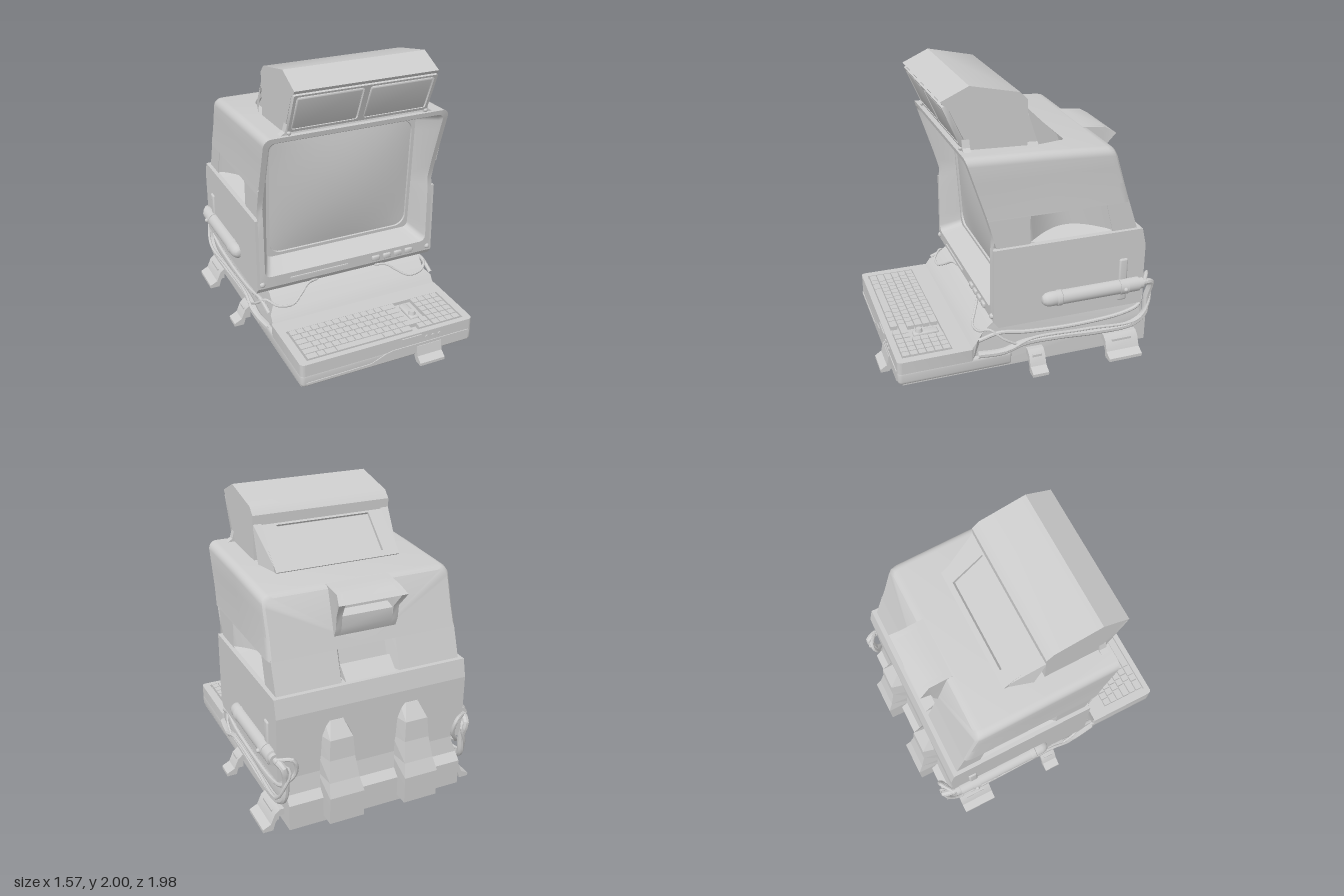
import * as THREE from 'three';
import { toCreasedNormals } from 'three/addons/utils/BufferGeometryUtils.js';
import { RoundedBoxGeometry } from 'three/addons/geometries/RoundedBoxGeometry.js';

const grey = new THREE.MeshStandardMaterial({ color: 0xcccccc });
const greyBoth = new THREE.MeshStandardMaterial({ color: 0xcccccc, side: THREE.DoubleSide });
const lerp = THREE.MathUtils.lerp;

export function createModel() {
  const model = new THREE.Group();
  const add = (name, geo, mat = grey, crease = 0.6) => {
    const m = new THREE.Mesh(toCreasedNormals(geo, crease), mat);
    m.name = name;
    model.add(m);
  };
  const box = (name, x, y, z, w, h, d) => add(name, new THREE.BoxGeometry(w, h, d).translate(x, y, z));
  const shapeOf = (pts) => new THREE.Shape(pts.map((p) => new THREE.Vector2(...p)));
  const extrude = (shape, depth) => new THREE.ExtrudeGeometry(shape, { depth, bevelEnabled: false, curveSegments: 10 });
  // side profile [z, y] extruded across x; plan [x, z] extruded up y
  const acrossX = (pts, x0, x1) => extrude(shapeOf(pts), x1 - x0).rotateY(-Math.PI / 2).translate(x1, 0, 0);
  const upY = (shape, y0, y1) => extrude(shape, y1 - y0).rotateX(Math.PI / 2).translate(0, y1, 0);
  const warp = (geo, f) => {
    const p = geo.attributes.position;
    for (let i = 0; i < p.count; i++) p.setXYZ(i, ...f(p.getX(i), p.getY(i), p.getZ(i)));
    return geo;
  };
  const rectPath = (x0, y0, x1, y1) => new THREE.Path([[x0, y0], [x0, y1], [x1, y1], [x1, y0]].map((p) => new THREE.Vector2(...p)));
  const rounded = (x0, y0, x1, y1, r) => {
    const s = new THREE.Shape();
    s.absarc(x1 - r, y1 - r, r, 0, Math.PI / 2).absarc(x0 + r, y1 - r, r, Math.PI / 2, Math.PI);
    return s.absarc(x0 + r, y0 + r, r, Math.PI, Math.PI * 1.5).absarc(x1 - r, y0 + r, r, Math.PI * 1.5, Math.PI * 2);
  };
  // skin through rings of [x, y, z]
  const loft = (rings, closed = true) => {
    const n = rings[0].length, index = [];
    for (let i = 0; i < rings.length - 1; i++)
      for (let j = 0; j < (closed ? n : n - 1); j++) {
        const a = i * n + j, b = i * n + (j + 1) % n;
        index.push(a, b, a + n, b, b + n, a + n);
      }
    const g = new THREE.BufferGeometry();
    g.setAttribute('position', new THREE.Float32BufferAttribute(rings.flat(2), 3));
    g.setIndex(index);
    return g;
  };
  // rounded rectangle ring whose depth follows z(y)
  const ring = (w, y0, y1, r, z) => {
    const c = [[w - r, y1 - r], [r - w, y1 - r], [r - w, y0 + r], [w - r, y0 + r]], out = [];
    const arcs = c.map(([x, y], k) => [0, 1, 2, 3, 4, 5, 6].map((i) => {
      const a = (k + i / 6) * Math.PI / 2;
      return [x + r * Math.cos(a), y + r * Math.sin(a)];
    }));
    arcs.forEach((arc, k) => {
      const e = arc[6], s = arcs[(k + 1) % 4][0];
      out.push(...arc);
      for (let i = 1; i < 12; i++) out.push([lerp(e[0], s[0], i / 12), lerp(e[1], s[1], i / 12)]);
    });
    return out.map(([x, y]) => [x, y, z(y)]);
  };
  const front = (y) => {
    const k = [[0.3, 0.272], [0.95, 0.272], [1.0, 0.255], [1.16, 0.3], [1.6, 0.445]];
    let i = 0;
    while (i < 3 && y > k[i + 1][0]) i++;
    return lerp(k[i][1], k[i + 1][1], (y - k[i][0]) / (k[i + 1][0] - k[i][0]));
  };

  // base and keyboard tray
  add('base', warp(acrossX([[0.42, 0.05], [0.42, 0.2], [0.37, 0.27], [0.32, 0.31], [0.25, 0.375], [0.2, 0.385], [-0.82, 0.385],
    [-0.84, 0.27], [-0.89, 0.22], [-0.89, 0.05]], -0.635, 0.635), (x, y, z) => [y > 0.3 ? x * 0.94 : x, y, z]));
  box('bottomPlate', 0, 0.046, 0, 1.27, 0.015, 1.78);
  add('trayBottom', new RoundedBoxGeometry(1.29, 0.11, 0.8, 3, 0.03).translate(0, 0.095, 0.52));
  const tray = rounded(-0.645, 0.39, 0.645, 0.92, 0.03);
  tray.holes.push(rectPath(-0.59, 0.53, 0.59, 0.88));
  add('tray', upY(tray, 0.13, 0.22));
  box('keyboardFloor', 0, 0.165, 0.705, 1.2, 0.06, 0.37);
  add('trayFrontPanel', extrude(shapeOf([[-0.61, 0.065], [0.61, 0.065], [0.61, 0.14], [0.02, 0.14], [-0.03, 0.13], [-0.14, 0.085], [-0.61, 0.08]]), 0.015).translate(0, 0, 0.911));
  box('trayDisplay', 0.16, 0.177, 0.92, 0.15, 0.06, 0.015);
  for (const x of [0.28, 0.33, 0.38]) add('indicator', new THREE.CylinderGeometry(0.013, 0.013, 0.02, 14).rotateX(Math.PI / 2).translate(x, 0.175, 0.917));

  // keys: widths per row in key units
  const unit = 0.0537;
  const keyRow = (x, z, widths) => widths.forEach((w) => {
    box('key', x + w * unit / 2, 0.206, z, w * unit - 0.007, 0.036, 0.049);
    x += w * unit;
  });
  for (let r = 0; r < 6; r++) {
    const z = 0.562 + r * 0.0565, lead = 1 + 0.25 * r;
    keyRow(-0.578, z, r === 5 ? [1.5, 1, 1.5, 6.5, 1.5, 1, 1.5] : [lead, ...Array(12).fill(1), 3 - lead + (r > 3 ? 1 : 0)]);
    keyRow(0.362, z, [1, 1, 1, 1]);
    if (r > 3) keyRow(0.25, z, [1, 1]);
  }
  add('joystickBase', new RoundedBoxGeometry(0.065, 0.03, 0.18, 2, 0.012).translate(0.295, 0.2, 0.645));
  add('joystick', new THREE.CylinderGeometry(0.02, 0.028, 0.03, 16).translate(0.295, 0.225, 0.69));

  // lower case, with the middle band above it scooped out at the sides and back
  const plan = (w, zf, zb, scoop) => {
    const s = new THREE.Shape();
    s.moveTo(0.645, 0.05).lineTo(0.645, zf).lineTo(w, zf);
    if (scoop) s.lineTo(w, 0.01).lineTo(w - 0.03, 0.0).quadraticCurveTo(w - 0.26, -0.28, w - 0.03, -0.57).lineTo(w, -0.58);
    s.lineTo(w, zb);
    if (scoop) s.lineTo(0.21, zb).lineTo(0.17, zb + 0.09).lineTo(-0.17, zb + 0.09).lineTo(-0.21, zb);
    s.lineTo(-w, zb);
    if (scoop) s.lineTo(-w, -0.58).lineTo(0.03 - w, -0.57).quadraticCurveTo(0.26 - w, -0.28, 0.03 - w, 0.0).lineTo(-w, 0.01);
    return s.lineTo(-w, zf).lineTo(-0.645, zf).lineTo(-0.645, 0.05);
  };
  add('chin', acrossX([[0.27, 0.5], [0.27, 0.425], [0.235, 0.38], [-0.82, 0.38], [-0.82, 0.5]], -0.685, 0.685));
  add('lowerCase', upY(plan(0.685, 0.27, -0.82), 0.5, 0.83));
  add('lowerCaseTop', warp(upY(plan(0.685, 0.27, -0.82), 0.83, 0.955), (x, y, z) => [x, y, z < -0.7 && y > 0.9 ? -0.79 : z]));
  add('middleBand', warp(upY(plan(0.658, 0.24, -0.76, true), 0.95, 1.17), (x, y, z) => {
    const t = (y - 0.95) / 0.21;
    return [x, y, z > 0.2 ? z + 0.06 * t : z < -0.01 ? z * (1 - 0.095 * t) : z];
  }));
  add('backScoopRamp', acrossX([[-0.67, 1.04], [-0.765, 0.955], [-0.66, 0.955]], -0.18, 0.18));

  // upper hood: an arch swept from the sloping front to the sloping back
  const back = (y) => -0.69 + (y - 1.16) * 0.31;
  const arch = (t, w, top, r = 0.055) => {
    const right = [[w + 0.006, 1.16], [w, 1.3], [w, 1.42]];
    for (let i = 0; i <= 6; i++) {
      const a = i * Math.PI / 12;
      right.push([w - r + r * Math.cos(a), top - r + r * Math.sin(a)]);
    }
    return [...right, ...right.slice().reverse().map(([x, y]) => [-x, y])].map(([x, y]) => [x, y, lerp(front(y), back(y), t)]);
  };
  const tail = arch(1, 0.645, 1.53);
  add('upperHood', loft([tail.map(() => [0, 1.16, -0.69]), tail, arch(0.985, 0.66, 1.545), arch(0.95, 0.667, 1.553),
    arch(0.5, 0.667, 1.575), arch(0, 0.667, 1.592)], false), greyBoth);

  // screen surround and bulging screen
  const deep = (y) => 0.12 + (y - 0.55) * 0.07;
  const sunk = (y) => deep(y) - 0.014;
  add('screenSurround', loft([ring(0.667, 0.43, 1.592, 0.055, front), ring(0.63, 0.51, 1.56, 0.045, (y) => front(y) + 0.004),
    ring(0.615, 0.52, 1.545, 0.045, (y) => front(y) - 0.02), ring(0.56, 0.575, 1.48, 0.04, deep),
    ring(0.537, 0.598, 1.454, 0.085, deep), ring(0.535, 0.6, 1.452, 0.085, sunk)]), greyBoth);
  add('screen', loft([1, 0.9, 0.8, 0.65, 0.5, 0.35, 0.2, 0.001].map((s) => ring(0.535, 0.6, 1.452, 0.085, sunk).map(([x, y]) => {
    const v = (y - 1.026) * s;
    return [x * s, 1.026 + v, sunk(1.026 + v) + 0.05 * (1 - (x * s / 0.535) ** 2) * (1 - (v / 0.426) ** 2)];
  }))), greyBoth);
  box('driveSlot', -0.225, 0.468, 0.274, 0.44, 0.012, 0.02);
  for (let i = 0; i < 4; i++) add('button', new RoundedBoxGeometry(0.06, 0.036, 0.03, 2, 0.008).translate(0.22 + i * 0.09, 0.466, 0.277));

  // lamp housing on the roof
  add('lampHousing', acrossX([[0.41, 1.56], [0.39, 1.64], [0.495, 1.87], [0.53, 1.895], [0.545, 1.915], [0.36, 2.0], [0.03, 1.93],
    [-0.02, 1.88], [-0.02, 1.56]], -0.5, 0.5));
  const lampFrame = rounded(-0.499, 0, 0.499, 0.3, 0.01);
  for (const x of [-0.25, 0.25]) lampFrame.holes.push(rounded(x - 0.23, 0.02, x + 0.23, 0.285, 0.02));
  add('lampFrame', extrude(lampFrame, 0.035).translate(0, 0, -0.035).rotateX(0.41).translate(0, 1.61, 0.42));
  for (const s of [-1, 1]) {
    add('lampPanel', new RoundedBoxGeometry(0.45, 0.255, 0.03, 3, 0.012).rotateX(0.41).translate(s * 0.25, 1.75, 0.462));
    add('housingFillet', extrude(shapeOf([[s * 0.48, 1.66], [s * 0.5, 1.66], [s * 0.515, 1.61], [s * 0.56, 1.58], [s * 0.48, 1.57]]), 0.05).translate(0, 0, 0.365));
    add('housingScrew', new THREE.SphereGeometry(0.014, 12, 8).translate(s * 0.49, 1.605, 0.42));
    // skirt joining the housing side to the rear slope
    add('rampFlare', loft([[[s * 0.44, 1.83, -0.01], [s * 0.44, 1.56, -0.29]], [[s * 0.5, 1.83, -0.01], [s * 0.5, 1.56, -0.1]]], false), greyBoth);
  }
  // rear slope with its recessed hatch
  add('housingRamp', acrossX([[0, 1.805], [-0.265, 1.56], [0, 1.56]], -0.44, 0.44));
  const hatch = rounded(-0.45, 0, 0.45, 0.385, 0.005);
  hatch.holes.push(rectPath(-0.34, 0.045, 0.34, 0.345));
  add('hatchFrame', extrude(hatch, 0.025).translate(0, 0, -0.005).rotateX(0.84).translate(0, 1.568, -0.285));

  // rear vent hood
  const vent = [[-0.35, 1.56], [-0.57, 1.548], [-0.7, 1.535], [-0.775, 1.49]], ventFoot = [[-0.69, 1.3], [-0.665, 1.24], [-0.5, 1.24]];
  const flare = (x, y, z) => [z < -0.75 ? x * 1.1 : x, y, z];
  add('ventHood', warp(acrossX([...vent, [-0.62, 1.47], [-0.62, 1.4], [-0.69, 1.38], ...ventFoot], -0.18, 0.18), flare));
  for (const x of [-0.22, 0.18]) add('ventCheek', warp(acrossX([...vent, [-0.7, 1.39], ...ventFoot], x, x + 0.04), flare));

  // front foot
  add('frontFoot', acrossX([[0.9, 0.12], [0.93, 0.12], [0.945, 0.05], [0.99, 0.02], [0.99, 0], [0.93, 0], [0.9, 0.04]], 0.2, 0.39));

  // parts mirrored on both sides
  for (const s of [-1, 1]) {
    add('caseScrew', new THREE.SphereGeometry(0.02, 14, 10).translate(s * 0.65, 0.46, 0.27));

    // lining of the side scoop: sloped floor, curved wall, sloped ceiling
    const liner = [[0, 0.962, 0], [1, 0.967, 0.03], [1, 1.157, -0.035], [0, 1.162, 0]].map(([d, y, dy]) => Array.from({ length: 21 }, (_, i) => {
      const c = Math.sin(i / 20 * Math.PI), end = lerp(-0.578, -0.525, (y - 0.962) / 0.2);
      return [s * (0.656 - d * 0.12 * c), y + dy * c, lerp(0.008, end, i / 20)];
    }));
    add('scoopLining', loft(liner, false), greyBoth);

    // rear buttress: stacked trapezoid sections [y, half width at case, half width at back, back z]
    const sections = [[0.08, 0, 0, -0.85], [0.08, 0.122, 0.122, -0.99], [0.27, 0.122, 0.122, -0.99], [0.36, 0.12, 0.105, -0.95],
      [0.5, 0.118, 0.09, -0.912], [0.64, 0.11, 0.08, -0.9], [0.74, 0.07, 0.045, -0.825], [0.74, 0, 0, -0.8]];
    add('rearButtress', loft(sections.map(([y, w, v, z]) => [[w, -0.78], [v, z], [-v, z], [-w, -0.78]].map(([x, d]) => [x + s * 0.273, y, d]))), greyBoth, 0.05);

    // side feet
    for (const [z, d] of [[-0.095, 0.115], [-0.8, 0.25]]) {
      const foot = [[0.62, 0.15], [0.665, 0.15], [0.7, 0.12], [0.73, 0.05], [0.785, 0.022], [0.785, 0], [0.715, 0], [0.7, 0.05], [0.67, 0.1], [0.62, 0.11]];
      add('sideFoot', extrude(shapeOf(foot.map(([x, y]) => [x * s, y])), d).translate(0, 0, z));
      box('footRib', s * 0.68, 0.08, z + d / 2, 0.05, 0.09, d * 0.6);
    }

    // gas tank, strap and bracket
    const tank = [[0, -0.85], [0.018, -0.85], [0.02, -0.81], [0.04, -0.81], [0.04, -0.78], [0.052, -0.775], [0.052, -0.205], [0.057, -0.2], [0.057, -0.17],
      [0.052, -0.165], [0.052, -0.115], [0.045, -0.09], [0.028, -0.07], [0, -0.062]];
    add('tank', new THREE.LatheGeometry(tank.map((p) => new THREE.Vector2(...p)), 24).rotateX(Math.PI / 2).translate(s * 0.69, 0.54, 0));
    add('tankBracket', new RoundedBoxGeometry(0.03, 0.32, 0.065, 3, 0.014).translate(s * 0.682, 0.59, -0.66));
    add('tankStrap', new THREE.CylinderGeometry(0.057, 0.057, 0.06, 24).rotateX(Math.PI / 2).translate(s * 0.69, 0.54, -0.66));
    add('tankKnob', new THREE.SphereGeometry(0.016, 12, 8).translate(s * 0.748, 0.54, -0.66));

    // hoses and cables
    const cable = (name, r, pts) => add(name, new THREE.TubeGeometry(new THREE.CatmullRomCurve3(
      pts.map(([x, y, z]) => new THREE.Vector3(x * s, y, z))), 60, r, 8));
    cable('mainHose', 0.024, [[0.69, 0.54, -0.82], [0.67, 0.52, -0.89], [0.65, 0.4, -0.875], [0.66, 0.27, -0.86], [0.67, 0.21, -0.76], [0.67, 0.2, -0.5],
      [0.67, 0.22, -0.2], [0.67, 0.22, 0.05], [0.67, 0.18, 0.2], [0.65, 0.175, 0.37]]);
    cable('upperHose', 0.014, [[0.69, 0.55, -0.83], [0.6, 0.56, -0.89], [0.58, 0.45, -0.87], [0.65, 0.35, -0.82], [0.66, 0.31, -0.72], [0.66, 0.28, -0.35],
      [0.66, 0.3, 0.05], [0.65, 0.32, 0.22], [0.64, 0.28, 0.36]]);
    cable('thinCable', 0.011, [[0.69, 0.53, -0.84], [0.63, 0.5, -0.9], [0.67, 0.36, -0.885], [0.69, 0.25, -0.8], [0.68, 0.24, -0.4], [0.685, 0.25, 0],
      [0.69, 0.2, 0.15], [0.66, 0.16, 0.28], [0.64, 0.17, 0.36]]);
    cable('frontCable', 0.009, [[0.23, 0.385, 0.24], [0.31, 0.385, 0.27], [0.38, 0.34, 0.31], [0.46, 0.3, 0.35], [0.57, 0.31, 0.34], [0.63, 0.34, 0.28],
      [0.67, 0.28, 0.2], [0.68, 0.22, 0.1]]);
  }
  return model;
}
